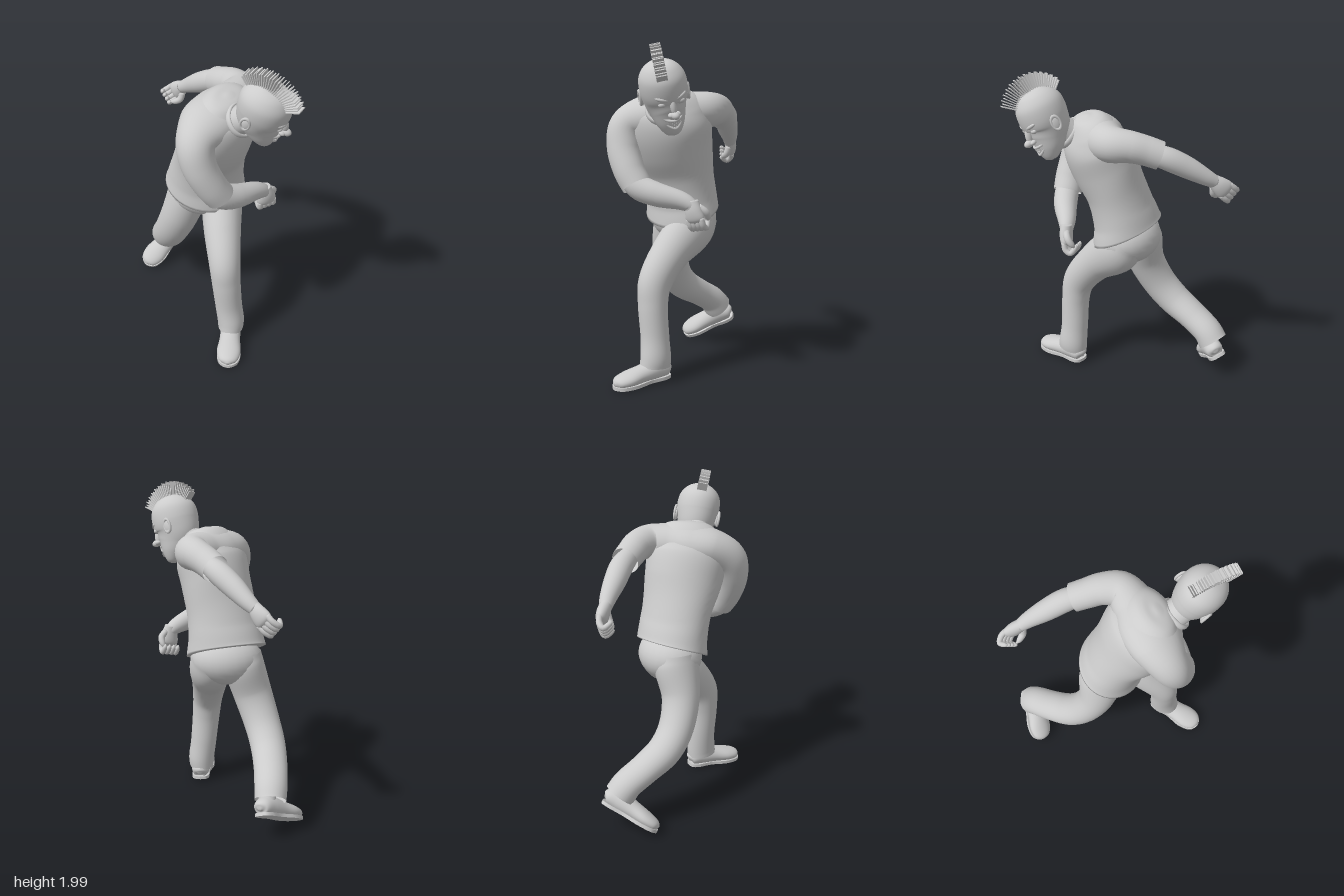
import * as THREE from 'three';

const V = (a) => new THREE.Vector3(...a);
const grey = new THREE.MeshStandardMaterial({ color: 0xcccccc, side: THREE.DoubleSide });

function add(parent, name, geometry) {
  const mesh = new THREE.Mesh(geometry, grey);
  mesh.name = name;
  parent.add(mesh);
  return mesh;
}

// Smooth skin through elliptical sections: [x, y, z, sideRadius, depthRadius, optional side direction]
function loft(keys, { sides = 28, steps = 8, capped = false } = {}) {
  const curve = (f) => new THREE.CatmullRomCurve3(keys.map(f), false, 'catmullrom', 0.5);
  const path = curve((k) => V(k.slice(0, 3)));
  const radii = curve((k) => new THREE.Vector3(k[3], k[4] ?? k[3], 0));
  const lateral = curve((k) => V(k[5] ?? [1, 0, 0]));
  const rows = (keys.length - 1) * steps;
  const pos = [], index = [];
  for (let i = 0; i <= rows; i++) {
    const u = i / rows, c = path.getPoint(u), t = path.getTangent(u), r = radii.getPoint(u);
    const L = lateral.getPoint(u);
    L.addScaledVector(t, -L.dot(t)).normalize();
    const D = t.clone().cross(L);
    for (let j = 0; j < sides; j++) {
      const a = (j / sides) * Math.PI * 2;
      const p = c.clone().addScaledVector(L, r.x * Math.cos(a)).addScaledVector(D, r.y * Math.sin(a));
      pos.push(p.x, p.y, p.z);
      if (i < rows) {
        const k = i * sides + j, n = i * sides + ((j + 1) % sides);
        index.push(k, n, n + sides, k, n + sides, k + sides);
      }
    }
  }
  if (capped) {
    const first = pos.length / 3, last = rows * sides;
    pos.push(...path.getPoint(0).toArray(), ...path.getPoint(1).toArray());
    for (let j = 0; j < sides; j++) {
      const n = (j + 1) % sides;
      index.push(first, n, j, first + 1, last + j, last + n);
    }
  }
  const g = new THREE.BufferGeometry();
  g.setAttribute('position', new THREE.Float32BufferAttribute(pos, 3));
  g.setIndex(index);
  g.computeVertexNormals();
  return g;
}

function ball(parent, name, at, scale) {
  const m = add(parent, name, new THREE.SphereGeometry(1, 24, 16));
  m.position.set(...at);
  m.scale.set(...scale);
  return m;
}

// Group with its own axes: z exactly along zDir, y close to yDir
function frame(parent, name, origin, zDir, yDir) {
  const g = new THREE.Group();
  const z = V(zDir).normalize(), x = V(yDir).cross(z).normalize();
  g.quaternion.setFromRotationMatrix(new THREE.Matrix4().makeBasis(x, z.clone().cross(x), z));
  g.position.set(...origin);
  g.name = name;
  parent.add(g);
  return g;
}

// Hand hanging along -y with the palm towards +z
function hand(parent, name, origin, palm, up, thumbSide, curl) {
  const g = frame(parent, name, origin, palm, up);
  add(g, 'palm', loft([[0, 0.02, 0, 0.036, 0.034], [0, -0.04, 0, 0.053, 0.038], [0, -0.09, 0.005, 0.058, 0.032],
    [0, -0.115, 0.008, 0.03, 0.014]], { capped: true }));
  for (let i = 0; i < 4; i++) {
    const x = -0.042 + i * 0.028;
    add(g, 'finger', loft([[x, -0.085, 0, 0.017], [x, -0.13, 0.012, 0.018], [x, -0.147 - 0.02 * (1 - curl), 0.045, 0.017],
      [x, -0.13 + 0.02 * curl, 0.072, 0.014], [x, -0.12 + 0.03 * curl, 0.075, 0.004]], { sides: 12, steps: 4, capped: true }));
  }
  const s = thumbSide;
  add(g, 'thumb', loft([[s * 0.03, -0.02, 0.01, 0.02], [s * 0.06, -0.055, 0.03, 0.021], [s * 0.055, -0.09, 0.055, 0.017],
    [s * 0.04, -0.108, 0.07, 0.005]], { sides: 12, steps: 4, capped: true }));
}

// Shoe with the heel at the origin and the toe towards +z
function shoe(parent, name, origin, toward, up) {
  const g = frame(parent, name, origin, toward, up);
  add(g, 'shoeUpper', loft([[0, 0.035, 0, 0.012], [0, 0.045, 0.02, 0.052, 0.045], [0, 0.055, 0.09, 0.062, 0.062],
    [0, 0.046, 0.19, 0.066, 0.052], [0, 0.036, 0.28, 0.075, 0.044], [0, 0.028, 0.345, 0.056, 0.033],
    [0, 0.022, 0.372, 0.012, 0.012]], { capped: true }));
  const outline = new THREE.Shape();
  outline.moveTo(0, 0);
  outline.splineThru([[0.042, 0.012], [0.058, 0.06], [0.055, 0.15], [0.075, 0.26], [0.058, 0.345], [0, 0.377], [-0.058, 0.345],
    [-0.075, 0.26], [-0.055, 0.15], [-0.058, 0.06], [-0.042, 0.012], [0, 0]].map((p) => new THREE.Vector2(...p)));
  const sole = add(g, 'sole', new THREE.ExtrudeGeometry(outline, { depth: 0.02, bevelEnabled: false, curveSegments: 40 }));
  sole.rotation.x = Math.PI / 2;
  sole.position.y = 0.012;
  add(g, 'ankle', loft([[0, 0.05, 0.08, 0.055], [0, 0.11, 0.08, 0.052], [0, 0.19, 0.08, 0.05]]));
}

function buildHead(model) {
  const head = frame(model, 'head', [0.28, 1.74, 0.365], [0.89, -0.33, 0.25], [0.24, 0.92, 0.33]);
  add(head, 'skull', loft([[0, -0.245, 0.085, 0.012, 0.012], [0, -0.23, 0.08, 0.045, 0.042], [0, -0.18, 0.058, 0.078, 0.08],
    [0, -0.12, 0.028, 0.1, 0.115], [0, -0.06, 0.004, 0.12, 0.138], [0, 0.01, 0, 0.133, 0.15], [0, 0.08, -0.005, 0.128, 0.144],
    [0, 0.13, -0.008, 0.1, 0.112], [0, 0.16, -0.01, 0.058, 0.064], [0, 0.17, -0.01, 0.008, 0.008]], { sides: 36, capped: true }));

  // Ears and mohawk are turned slightly against the face
  const crown = new THREE.Group();
  crown.name = 'crown';
  crown.rotation.y = -0.24;
  head.add(crown);

  // Face
  ball(head, 'noseBridge', [0, -0.05, 0.14], [0.017, 0.05, 0.022]).rotation.x = -0.3;
  ball(head, 'noseTip', [0, -0.092, 0.16], [0.024, 0.022, 0.032]);
  for (const s of [-1, 1]) {
    ball(head, 'nostril', [s * 0.02, -0.094, 0.143], [0.016, 0.014, 0.02]);
    ball(head, 'eye', [s * 0.052, -0.03, 0.12], [0.025, 0.016, 0.018]);
    ball(head, 'brow', [s * 0.052, 0.002, 0.122], [0.042, 0.014, 0.02]).rotation.set(0, s * 0.4, s * 0.25);
    // Ears: a flat lobe with a raised rim, close to the head
    ball(crown, 'ear', [s * 0.128, -0.04, -0.02], [0.014, 0.044, 0.028]);
    const rim = add(crown, 'earRim', new THREE.TorusGeometry(0.03, 0.008, 10, 24));
    rim.position.set(s * 0.136, -0.036, -0.023);
    rim.scale.set(0.85, 1.35, 1);
    rim.rotation.y = s * 1.4;
  }
  // Open grin: two lips and two rows of teeth
  const grin = (y, sag, z) => new THREE.CatmullRomCurve3([-1, -0.5, 0, 0.5, 1].map((t) =>
    new THREE.Vector3(t * 0.06, y - sag * (1 - t * t), z - 0.045 * t * t)));
  const rows = [['upperLip', grin(-0.12, 0.014, 0.139), 1], ['lowerLip', grin(-0.122, 0.062, 0.131), -1]];
  for (const [name, curve, s] of rows) {
    add(head, name, new THREE.TubeGeometry(curve, 24, 0.008, 10));
    for (let i = 1; i < 10; i++) {
      const tooth = add(head, 'tooth', new THREE.BoxGeometry(0.01, 0.018, 0.008));
      tooth.position.copy(curve.getPoint(i / 10)).add(new THREE.Vector3(0, -s * 0.013, -0.002));
      tooth.rotation.y = (i - 5) * 0.13;
    }
  }

  // Mohawk: a fan of thin upright cards over the crown
  const crest = new THREE.Group();
  crest.name = 'mohawk';
  crest.rotation.z = 0.05;
  crown.add(crest);
  const count = 28;
  for (let i = 0; i < count; i++) {
    const t = i / (count - 1), a = -0.88 + t * 1.74;
    const tip = 0.212 + 0.044 * Math.sin(Math.PI * (t * 0.68 + 0.08)) + 0.008 * (i % 2);
    const card = add(crest, 'hairCard', new THREE.BoxGeometry(0.06, tip - 0.12, 0.006));
    const mid = (tip + 0.12) / 2;
    card.position.set(0, mid * Math.cos(a), mid * Math.sin(a));
    card.rotation.x = a;
  }
}

export function createModel() {
  const model = new THREE.Group();
  model.name = 'runningMan';
  buildHead(model);

  // Shirt, twisting from the hips to the shoulders
  const hip = [1, 0, -0.1], mid = [0.88, 0.05, -0.45], chest = [0.6, 0.14, -0.8];
  const shirt = loft([[-0.04, 0.995, -0.003, 0.246, 0.2, hip], [-0.033, 1.1, 0.01, 0.23, 0.188, [0.97, 0, -0.25]],
    [-0.012, 1.24, 0.05, 0.222, 0.185, mid], [0.022, 1.4, 0.112, 0.238, 0.2, chest], [0.052, 1.54, 0.16, 0.25, 0.195, chest],
    [0.075, 1.64, 0.18, 0.215, 0.15, chest], [0.095, 1.71, 0.2, 0.13, 0.09, chest], [0.1, 1.73, 0.205, 0.02, 0.015, chest]],
  { sides: 40, capped: true });
  // The hem dips at the front and lifts at the back
  const p = shirt.attributes.position;
  for (let i = 0; i < p.count; i++) {
    const w = THREE.MathUtils.clamp((1.2 - p.getY(i)) / 0.2, 0, 1);
    p.setY(i, p.getY(i) - w * (0.3 * p.getZ(i) + 0.1 * p.getX(i)));
  }
  shirt.computeVertexNormals();
  add(model, 'shirt', shirt);
  add(model, 'neck', loft([[0.1, 1.56, 0.22, 0.085], [0.17, 1.63, 0.29, 0.082], [0.25, 1.69, 0.34, 0.082]]));
  const collar = add(frame(model, 'collarRing', [0.16, 1.62, 0.285], [0.65, 0.6, 0.48], [0, 1, 0]), 'collar',
    new THREE.TorusGeometry(0.092, 0.01, 12, 36));
  collar.scale.z = 1.8;

  // Both sleeves and the shoulders between them, from right hem to left hem
  add(model, 'shouldersAndSleeves', loft([[0.05, 1.185, 0.395, 0.088], [-0.005, 1.27, 0.41, 0.093],
    [-0.065, 1.39, 0.405, 0.1], [-0.085, 1.51, 0.365, 0.113], [-0.03, 1.575, 0.265, 0.158, 0.125],
    [0.045, 1.595, 0.16, 0.165, 0.13], [0.115, 1.605, 0.055, 0.13, 0.12], [0.162, 1.615, -0.045, 0.106],
    [0.127, 1.612, -0.14, 0.093], [0.072, 1.588, -0.215, 0.087], [0.025, 1.56, -0.28, 0.084]]));

  // Right forearm and hand, bent across the body
  add(model, 'rightForearm', loft([[0, 1.27, 0.41, 0.06], [0.055, 1.185, 0.395, 0.074], [0.15, 1.14, 0.33, 0.071],
    [0.25, 1.11, 0.24, 0.056], [0.3, 1.085, 0.2, 0.044], [0.315, 1.06, 0.19, 0.036]], { capped: true }));
  hand(model, 'rightHand', [0.315, 1.09, 0.19], [-0.35, 0, -0.9], [-0.1, 0.95, 0.2], -1, 1);

  // Left forearm and hand, swung back
  add(model, 'leftForearm', loft([[0.07, 1.58, -0.22, 0.055], [0, 1.54, -0.315, 0.068], [-0.08, 1.48, -0.4, 0.064],
    [-0.15, 1.42, -0.475, 0.05], [-0.2, 1.38, -0.52, 0.038]], { capped: true }));
  hand(model, 'leftHand', [-0.195, 1.385, -0.515], [-0.6, -0.1, 0.6], [0.5, 0.62, 0.52], 1, 0.4);

  // Trousers
  ball(model, 'trouserSeat', [-0.04, 0.95, -0.015], [0.222, 0.158, 0.188]);
  add(model, 'leftTrouserLeg', loft([[0.052, 0.98, -0.07, 0.115, 0.12], [0.06, 0.89, 0.01, 0.128, 0.15],
    [0.066, 0.76, 0.165, 0.115, 0.12], [0.08, 0.61, 0.285, 0.098, 0.105], [0.092, 0.47, 0.315, 0.09, 0.09],
    [0.11, 0.28, 0.315, 0.085, 0.087], [0.125, 0.16, 0.32, 0.085, 0.095], [0.125, 0.1, 0.325, 0.08, 0.098]]));
  add(model, 'rightTrouserLeg', loft([[-0.13, 0.98, -0.03, 0.125], [-0.15, 0.9, -0.03, 0.128, 0.14],
    [-0.205, 0.73, -0.035, 0.12, 0.115], [-0.26, 0.57, -0.095, 0.112, 0.105], [-0.295, 0.45, -0.195, 0.108, 0.1],
    [-0.305, 0.365, -0.335, 0.102, 0.088], [-0.302, 0.295, -0.45, 0.098, 0.088], [-0.297, 0.23, -0.505, 0.094, 0.094]]));

  // Shoes
  shoe(model, 'leftShoe', [0.135, 0.032, 0.23], [-0.03, -0.018, 0.375], [0, 1, 0]);
  shoe(model, 'rightShoe', [-0.23, 0.18, -0.59], [-0.22, -0.135, 0.21], [0.1, 0.8, 0.45]);
  return model;
}
